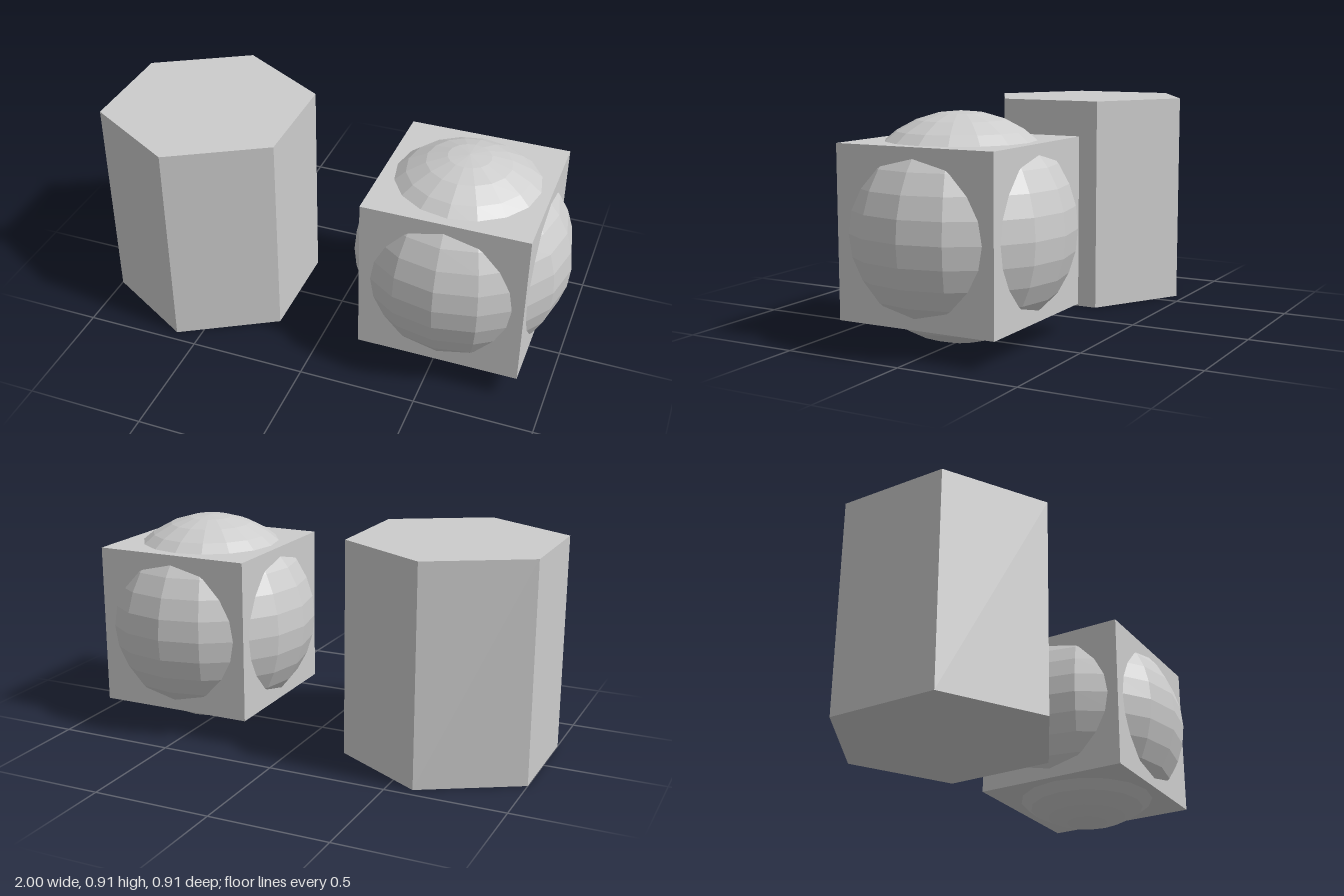
import * as THREE from 'three';

const R = 0.457; // shared radius of the prism and the sphere

export function createModel() {
  const model = new THREE.Group();
  model.name = 'primitiveShapes';
  const grey = new THREE.MeshStandardMaterial({ color: 0xcccccc });
  grey.name = 'light grey';
  grey.flatShading = true;

  const add = (name, geometry, x) => {
    const mesh = new THREE.Mesh(geometry, grey);
    mesh.name = name;
    mesh.position.set(x, R, 0);
    model.add(mesh);
  };

  // Hexagonal prism with corners pointing front and back
  add('hexagonalPrism', new THREE.CylinderGeometry(R, R, 2 * R, 6), -1 + R * Math.cos(Math.PI / 6));

  // Faceted sphere bulging through the six faces of a cube
  add('sphere', new THREE.SphereGeometry(R, 16, 16), 1 - R);
  add('cube', new THREE.BoxGeometry(1.5 * R, 1.5 * R, 1.5 * R), 1 - R);

  return model;
}
